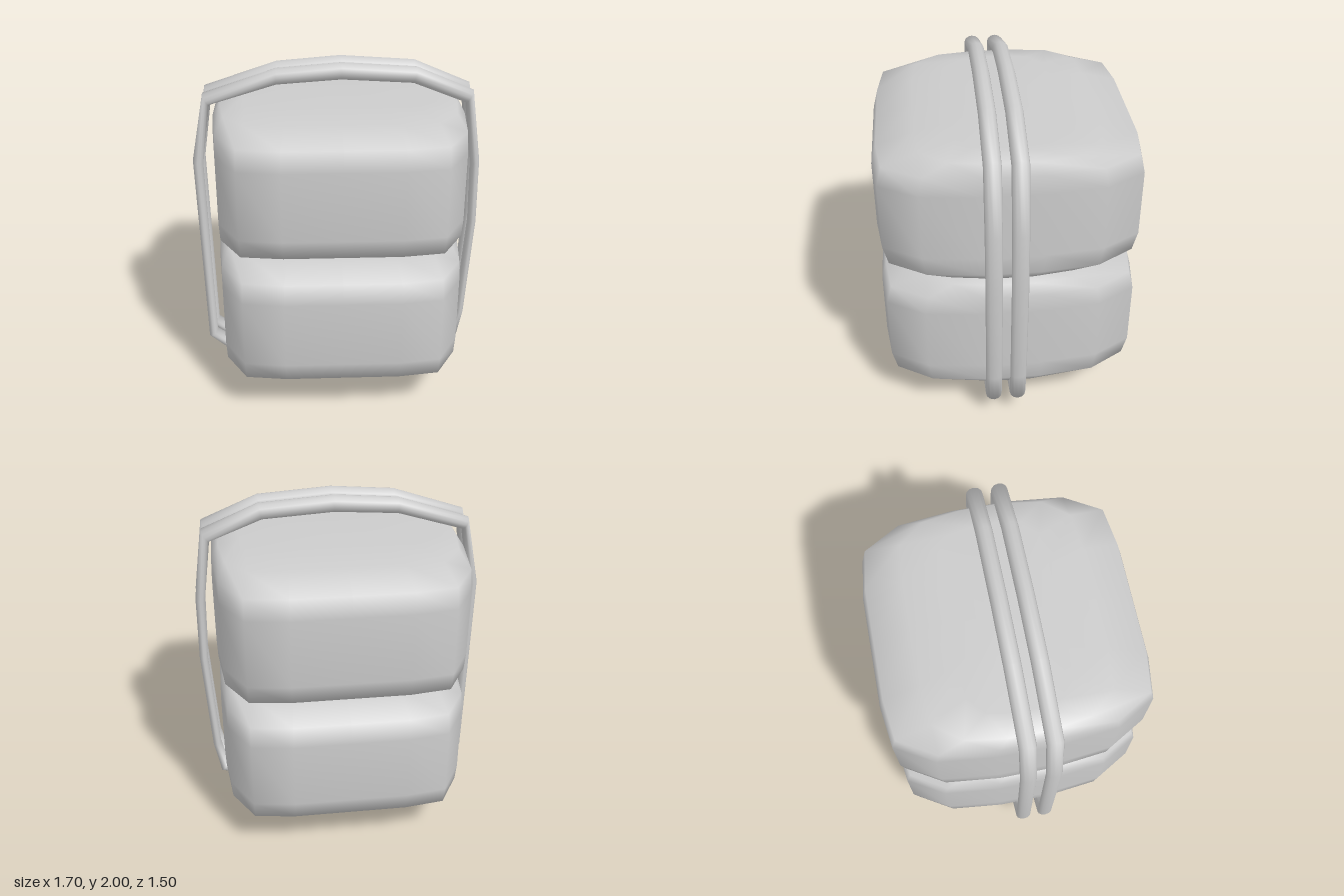
import * as THREE from 'three';
import { mergeVertices } from 'three/addons/utils/BufferGeometryUtils.js';

const material = new THREE.MeshStandardMaterial({ color: 0xcccccc });

// Skins a list of closed rings; the last ring may join back to the first.
function skin(rings, joinEnds) {
  const n = rings[0].length, m = rings.length, index = [];
  for (let i = 0; i < (joinEnds ? m : m - 1); i++) {
    for (let j = 0; j < n; j++) {
      const a = i * n + j, b = i * n + (j + 1) % n;
      const c = ((i + 1) % m) * n + j, d = ((i + 1) % m) * n + (j + 1) % n;
      index.push(a, b, c, b, d, c);
    }
  }
  const geometry = new THREE.BufferGeometry();
  geometry.setAttribute('position', new THREE.Float32BufferAttribute(rings.flat(2), 3));
  geometry.setIndex(index);
  const merged = mergeVertices(geometry, 1e-4);
  merged.computeVertexNormals();
  return merged;
}

// Soft square block: one outline (x, z) scaled per layer
function blockGeometry() {
  const quarter = [[0, 0.75], [0.33, 0.75], [0.565, 0.718], [0.69, 0.5], [0.725, 0.17]];
  const half = [...quarter, ...quarter.slice(1).reverse().map(([x, z]) => [x, -z])];
  const outline = [...half, [0, -0.75], ...half.slice(1).reverse().map(([x, z]) => [-x, z])];
  // height above the middle, x scale, z scale
  const upper = [[0.2, 1, 1], [0.315, 0.995, 0.96], [0.375, 0.94, 0.68], [0.392, 0.77, 0.4], [0.398, 0, 0]];
  const lower = upper.map(([y, sx, sz]) => [-y, sx, sz]).reverse();
  const rings = [...lower, ...upper].map(([y, sx, sz]) => outline.map(([x, z]) => [x * sx, y, z * sz]));
  return skin(rings, false);
}

// Hand-tied cord: outer and inner edge at each bend, with an oval section
function cordGeometry() {
  const bends = [
    [0.02, 2.0, 0.02, 1.9], [0.45, 1.97, 0.43, 1.875], [0.78, 1.83, 0.735, 1.755],
    [0.84, 1.4, 0.785, 1.38], [0.845, 1.0, 0.795, 1.0], [0.805, 0.35, 0.755, 0.37],
    [0.765, 0.14, 0.72, 0.21], [0.34, 0.045, 0.33, 0.14], [0, 0.015, 0, 0.115],
    [-0.42, 0, -0.4, 0.1], [-0.65, 0.06, -0.615, 0.135], [-0.825, 0.21, -0.77, 0.245],
    [-0.85, 1.42, -0.79, 1.4], [-0.77, 1.83, -0.735, 1.76], [-0.35, 1.97, -0.35, 1.875],
  ];
  const sides = 12, halfWidth = 0.048;
  const rings = bends.map(([ox, oy, ix, iy]) => Array.from({ length: sides }, (_, j) => {
    const a = (j / sides) * Math.PI * 2, t = (1 + Math.cos(a)) / 2;
    return [ix + (ox - ix) * t, iy + (oy - iy) * t, halfWidth * Math.sin(a)];
  }));
  return skin(rings, true);
}

export function createModel() {
  const model = new THREE.Group();
  model.name = 'tiedBlocks';
  const add = (name, geometry, x, y, z) => {
    const mesh = new THREE.Mesh(geometry, material);
    mesh.name = name;
    mesh.position.set(x, y, z);
    model.add(mesh);
  };

  // Two stacked blocks
  const block = blockGeometry();
  add('lowerBlock', block, 0.006, 0.593, 0);
  add('upperBlock', block, 0.006, 1.392, 0);

  // Two cords around the stack
  const cord = cordGeometry();
  add('frontCord', cord, 0, 0, 0.12);
  add('backCord', cord, 0, 0, -0.024);
  return model;
}
